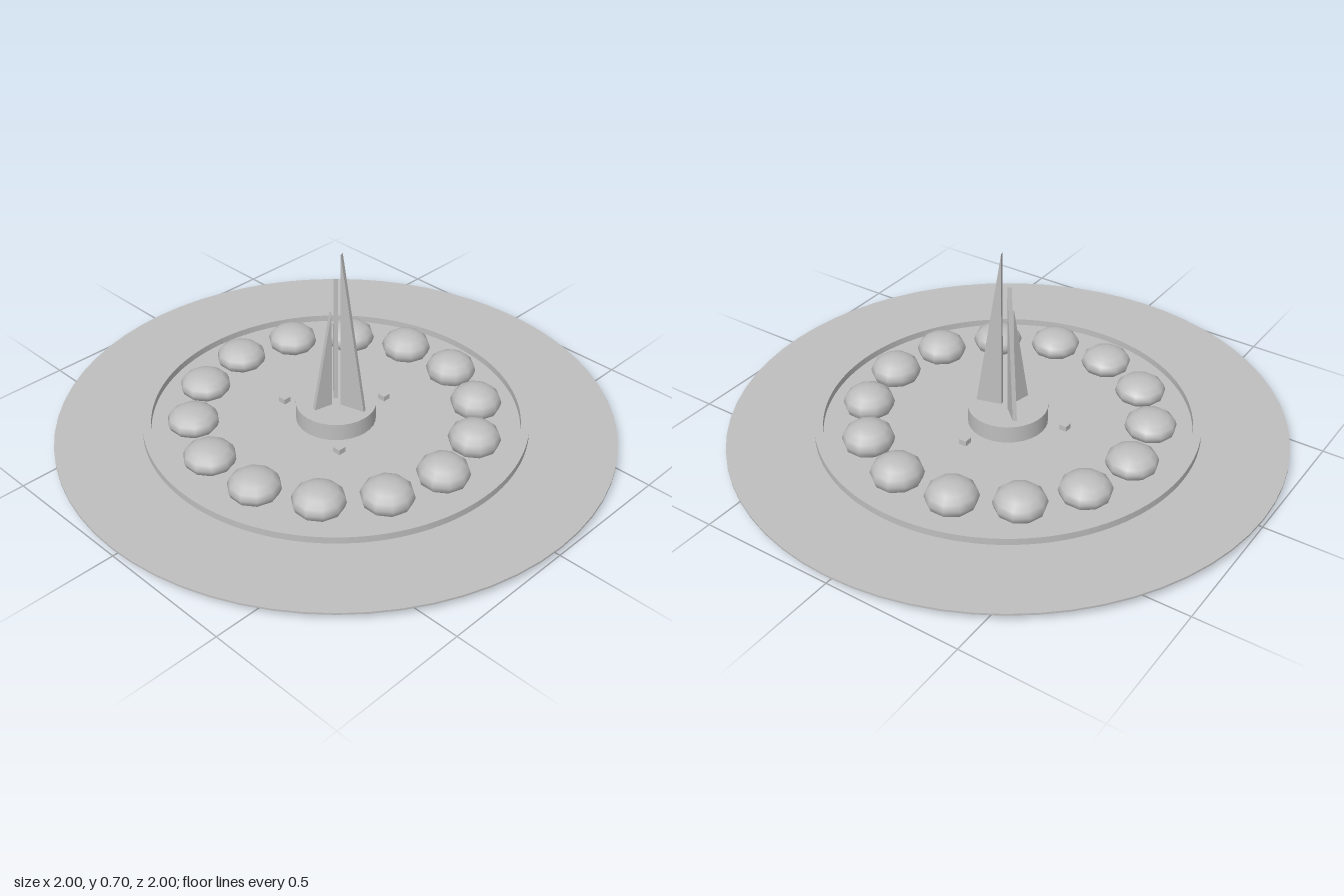
import * as THREE from 'three';

export function createModel() {
  const model = new THREE.Group();
  const stone = new THREE.MeshStandardMaterial({ color: 0xbebebe });
  stone.name = 'stone grey';

  const FLOOR = 0.035;
  const add = (name, geometry, x = 0, y = 0, z = 0) => {
    const mesh = new THREE.Mesh(geometry, stone);
    mesh.name = name;
    mesh.position.set(x, y, z);
    model.add(mesh);
    return mesh;
  };
  // Point on a circle, counter-clockwise seen from above
  const polar = (r, a) => [r * Math.cos(a), -r * Math.sin(a)];
  const rad = THREE.MathUtils.degToRad;

  // Broad thin plaza
  add('plaza', new THREE.CylinderGeometry(1, 1, 0.007, 64), 0, FLOOR - 0.0035, 0);

  // Raised rim with square edges
  const ring = new THREE.Shape().absarc(0, 0, 0.69, 0, Math.PI * 2, false);
  ring.holes.push(new THREE.Path().absarc(0, 0, 0.66, 0, Math.PI * 2, true));
  const rim = new THREE.ExtrudeGeometry(ring, { depth: 0.028, bevelEnabled: false, curveSegments: 64 });
  rim.rotateX(-Math.PI / 2);
  add('rim', rim, 0, FLOOR - 0.003, 0);

  // Circle of flattened domes, slightly fuller towards the back right
  const dome = new THREE.SphereGeometry(1, 10, 8);
  for (let i = 0; i < 14; i++) {
    const a = (i / 14) * Math.PI * 2;
    const [x, z] = polar(0.51, a);
    const mesh = add('dome' + (i + 1), dome, x, 0.063, z);
    mesh.scale.set(0.093, 0.057 + 0.006 * Math.cos(a - rad(45)), 0.093);
  }

  // Central pedestal
  add('pedestal', new THREE.CylinderGeometry(0.144, 0.144, 0.068, 32), 0, 0.066, 0);

  // Three upright blades, each a thin right triangle with its tall edge inward
  const blades = [
    { angle: 15, length: 0.095, top: 0.705 },
    { angle: 137, length: 0.085, top: 0.59 },
    { angle: 257, length: 0.07, top: 0.48 },
  ];
  const thickness = 0.015;
  blades.forEach(({ angle, length, top }, i) => {
    const shape = new THREE.Shape([
      new THREE.Vector2(0, 0),
      new THREE.Vector2(length, 0),
      new THREE.Vector2(0, top - 0.1),
    ]);
    const geometry = new THREE.ExtrudeGeometry(shape, { depth: thickness, bevelEnabled: false });
    geometry.translate(0, 0, -thickness / 2);
    const [x, z] = polar(0.022, rad(angle));
    add('blade' + (i + 1), geometry, x, 0.1, z).rotation.y = rad(angle);
  });

  // Small blocks around the pedestal
  [78, 198, 318].forEach((angle, i) => {
    const [x, z] = polar(0.21, rad(angle));
    add('block' + (i + 1), new THREE.BoxGeometry(0.03, 0.02, 0.03), x, FLOOR + 0.01, z);
  });

  return model;
}
